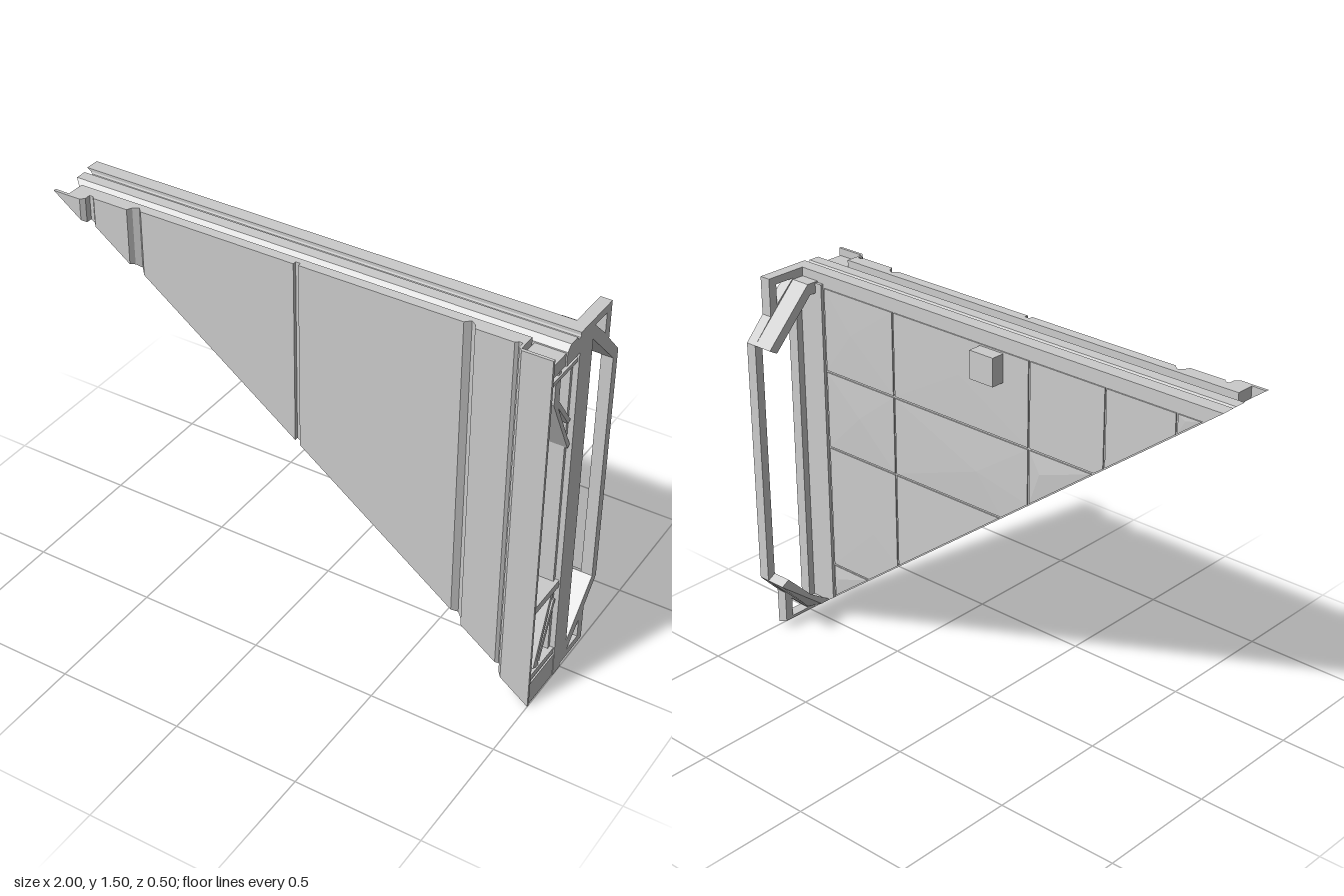
import * as THREE from 'three';
import { mergeGeometries } from 'three/addons/utils/BufferGeometryUtils.js';

const TOP = 1.5;
const diagonal = (x) => 0.75 - 0.75 * x; // height of the sloping lower edge
const material = new THREE.MeshStandardMaterial({ color: 0xcccccc, flatShading: true });

function add(group, name, geometry) {
  const mesh = new THREE.Mesh(geometry, material);
  mesh.name = name;
  group.add(mesh);
}

function reshape(geometry, rule) {
  const p = geometry.attributes.position;
  const v = new THREE.Vector3();
  for (let i = 0; i < p.count; i++) {
    rule(v.fromBufferAttribute(p, i));
    p.setXYZ(i, v.x, v.y, v.z);
  }
  geometry.computeVertexNormals();
  return geometry;
}

const vectors = (points) => points.map(([a, b]) => new THREE.Vector2(a, b));

// Upright prism from an (x, z) outline, cut off below by the diagonal
function upright(outline, top) {
  const shape = new THREE.Shape(vectors(outline.map(([x, z]) => [x, -z])));
  const g = new THREE.ExtrudeGeometry(shape, { depth: 1, bevelEnabled: false });
  g.rotateX(-Math.PI / 2);
  return reshape(g, (v) => { v.y = v.y > 0.5 ? top : Math.min(top, diagonal(v.x)); });
}

const rect = (x0, x1, z0, z1) => [[x0, z0], [x1, z0], [x1, z1], [x0, z1]];

// Sideways prism from a (z, y) outline, running from x0 to x1
function sideways(outline, x0, x1, holes = []) {
  const flip = (points) => vectors(points.map(([z, y]) => [-z, y]));
  const shape = new THREE.Shape(flip(outline));
  shape.holes = holes.map((h) => new THREE.Path(flip(h)));
  const g = new THREE.ExtrudeGeometry(shape, { depth: x1 - x0, bevelEnabled: false });
  g.rotateY(Math.PI / 2).translate(x0, 0, 0);
  return g;
}

const aboveDiagonal = (g) => reshape(g, (v) => { v.y = Math.max(v.y, diagonal(v.x)); });

// Straight bar between two (z, y) points
function bar([z0, y0], [z1, y1], width, x0 = 0.9, x1 = 0.99) {
  const length = Math.hypot(z1 - z0, y1 - y0);
  const nz = (-(y1 - y0) / length) * width / 2;
  const ny = ((z1 - z0) / length) * width / 2;
  return sideways([[z0 + nz, y0 + ny], [z1 + nz, y1 + ny], [z1 - nz, y1 - ny], [z0 - nz, y0 - ny]], x0, x1);
}

// Keep the part of a polygon that lies above the diagonal
function clip(polygon) {
  const out = [];
  const height = ([x, y]) => y - diagonal(x) - 0.006;
  polygon.forEach((a, i) => {
    const b = polygon[(i + 1) % polygon.length];
    const ha = height(a), hb = height(b);
    if (ha >= 0) out.push(a);
    if (ha * hb < 0) {
      const t = ha / (ha - hb);
      out.push([a[0] + (b[0] - a[0]) * t, a[1] + (b[1] - a[1]) * t]);
    }
  });
  return out;
}

// Thin back plate with a slightly raised off-centre point
function plate(polygon, k) {
  const n = polygon.length;
  const cx = polygon.reduce((s, p) => s + p[0], 0) / n + 0.05 * Math.sin(k * 2.1);
  const cy = polygon.reduce((s, p) => s + p[1], 0) / n + 0.02 * Math.cos(k * 1.7);
  const peak = -0.008 - 0.003 * Math.sin(k * 3.3);
  const rim = -0.005;
  const pos = [];
  polygon.forEach(([ax, ay], i) => {
    const [bx, by] = polygon[(i + 1) % n];
    pos.push(bx, by, rim, ax, ay, rim, cx, cy, peak);
    pos.push(ax, ay, rim, bx, by, rim, bx, by, 0);
    pos.push(ax, ay, rim, bx, by, 0, ax, ay, 0);
  });
  const g = new THREE.BufferGeometry();
  g.setAttribute('position', new THREE.Float32BufferAttribute(pos, 3));
  g.computeVertexNormals();
  return g;
}

export function createModel() {
  const model = new THREE.Group();
  model.name = 'triangularWallPanel';

  // Triangular core, with a filler block behind the front cladding
  add(model, 'core', upright(rect(-1, 1, 0, 0.055), TOP));
  add(model, 'filler', upright(rect(-0.94, 0.88, 0.055, 0.17), 1.46));

  // Front cladding with vertical grooves, mirrored about the middle
  const half = [[0.01, 0.19], [0.01, 0.205], [0.65, 0.205], [0.67, 0.185], [0.69, 0.2], [0.7, 0.22],
    [0.845, 0.22], [0.855, 0.21], [0.87, 0.21], [0.87, 0.235], [0.885, 0.25], [1, 0.25]];
  const mirrored = half.map(([x, z]) => [-x, z]).reverse();
  add(model, 'frontCladding', upright([...mirrored, ...half,
    [1, 0.238], [0.88, 0.238], [0.88, 0.165], [-0.94, 0.165], [-0.94, 0.238], [-1, 0.238]], TOP));

  // Grooved rail along the top, with its far end cut to the slope
  const rail = sideways([[0, 1.42], [0, 1.5], [0.05, 1.5], [0.058, 1.482], [0.072, 1.482], [0.08, 1.495],
    [0.125, 1.495], [0.148, 1.475], [0.148, 1.42]], -1, 1);
  add(model, 'topRail', reshape(rail, (v) => { if (v.x < 0) v.x = 1 - v.y / 0.75; }));

  // Open end bay: cross bars, foot block and braces
  const bay = new THREE.Group();
  bay.name = 'endBay';
  model.add(bay);
  for (const [y, h] of [[1.445, 0.05], [1.392, 0.016], [0.435, 0.03], [0.12, 0.025]])
    add(bay, 'crossBar', bar([0.055, y], [0.24, y], h, 0.88, 0.995));
  add(bay, 'footBlock', upright(rect(0.88, 0.998, 0.055, 0.245), 0.1));
  add(bay, 'sidePost', bar([0.225, 0.1], [0.225, 1.46], 0.012, 0.88, 0.97));
  add(bay, 'innerPost', bar([0.064, 0.1], [0.064, 1.46], 0.014, 0.88, 0.98));
  const braces = [
    [[0.19, 1.39], [0.19, 1.29]], [[0.195, 1.3], [0.06, 1.04]],
    [[0.172, 1.42], [0.172, 1.28]], [[0.175, 1.29], [0.07, 1.15]],
    [[0.195, 0.14], [0.09, 0.42]], [[0.165, 0.15], [0.07, 0.37]], [[0.175, 0.1], [0.175, 0.16]],
  ];
  for (const [a, b] of braces) add(bay, 'brace', bar(a, b, 0.018));

  // Back frame: thin outline with three openings and wide sloping slabs
  const flipY = (points) => points.map(([z, y]) => [z, 1.515 - y]);
  const frame = new THREE.Group();
  frame.name = 'backFrame';
  model.add(frame);
  const upperEdge = [[-0.255, 1.26], [-0.17, 1.35], [-0.17, 1.5], [0, 1.5]];
  const window_ = [[-0.04, 1.42], [-0.22, 1.24]];
  const triangle = [[-0.05, 1.47], [-0.135, 1.47], [-0.135, 1.39]];
  add(frame, 'frameOutline', aboveDiagonal(sideways([...upperEdge, ...flipY(upperEdge).reverse()], 0.955, 1,
    [[...window_, ...flipY(window_).reverse()], triangle, flipY(triangle)])));
  const slab = [[0, 1.42], [-0.04, 1.42], [-0.22, 1.24], [-0.255, 1.26], [-0.05, 1.465], [0, 1.465]];
  for (const outline of [slab, flipY(slab)])
    add(frame, 'slopingSlab', aboveDiagonal(sideways(outline, 0.875, 0.956)));
  add(frame, 'mountingStrip', upright(rect(0.845, 0.96, -0.012, 0), 1.46));

  // Back skin: plates separated by narrow seams
  const columns = [-1, -0.82, -0.52, -0.18, 0.48, 0.84];
  const rows = [0, 0.27, 0.79, 1.11, 1.45];
  const gap = 0.004;
  const plates = [];
  for (let i = 0; i < columns.length - 1; i++) {
    for (let j = 0; j < rows.length - 1; j++) {
      const x0 = columns[i] + gap, x1 = columns[i + 1] - gap;
      const y0 = rows[j] + gap, y1 = rows[j + 1] - gap;
      const polygon = clip([[x0, y0], [x1, y0], [x1, y1], [x0, y1]]);
      if (polygon.length > 2) plates.push(plate(polygon, i * 4 + j));
    }
  }
  add(model, 'backSkin', mergeGeometries(plates));

  // Small block on the back
  add(model, 'backBlock', new THREE.BoxGeometry(0.11, 0.11, 0.06).translate(-0.005, 1.385, -0.03));

  return model;
}
